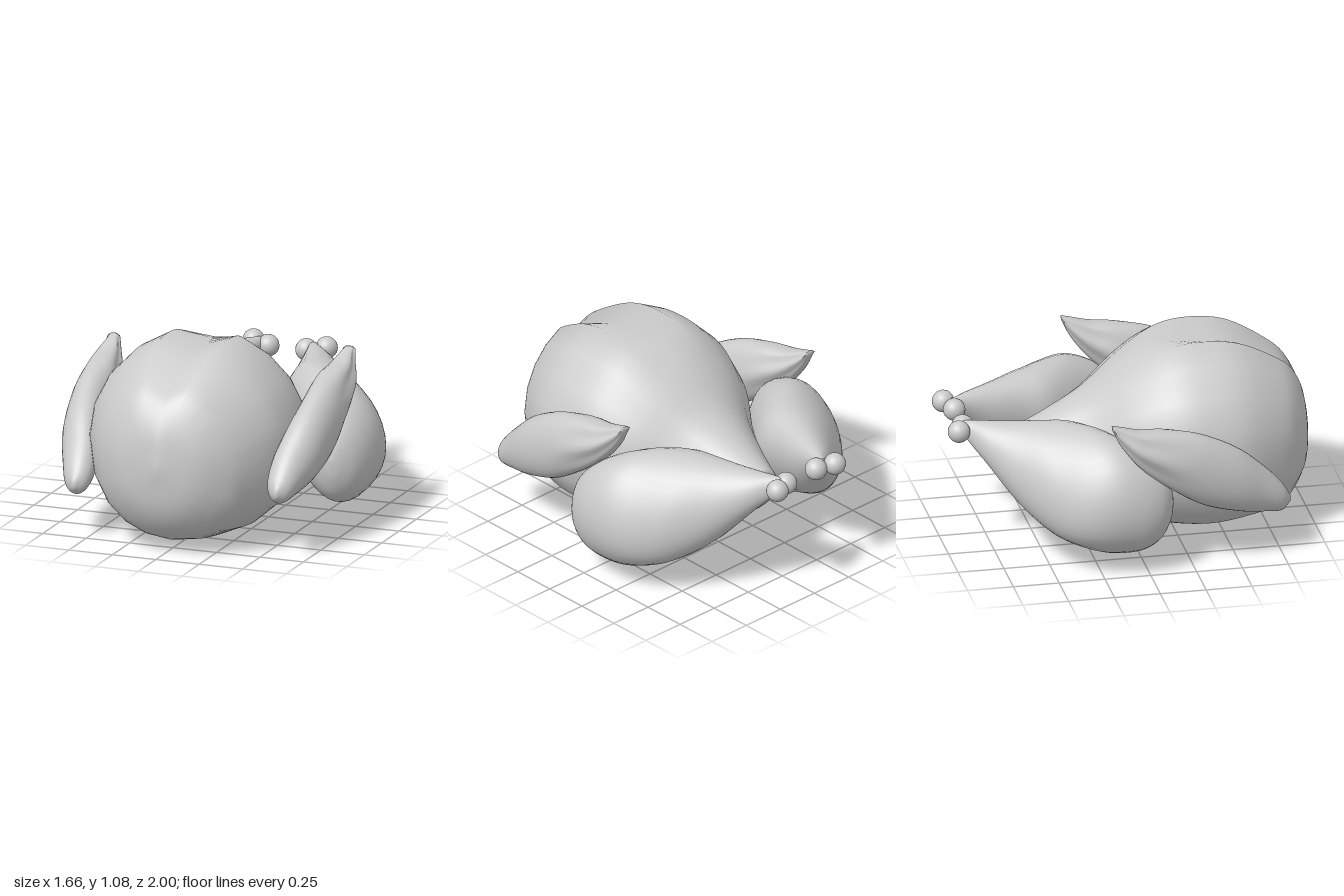
import * as THREE from 'three';

const material = new THREE.MeshStandardMaterial({ color: 0xcccccc });
const { smoothstep } = THREE.MathUtils;

// Smooth closed loft along z. Section rows: [z, centreX, centreY, halfWidth, halfHeight].
// adjust(point, angle, centre, size) reshapes each ring point; side = -1 mirrors in x.
function loft(rows, { sides = 32, rings = 48, side = 1, adjust }) {
  const path = new THREE.CatmullRomCurve3(rows.map(r => new THREE.Vector3(r[1], r[2], r[0])), false, 'catmullrom', 0.5);
  const size = new THREE.CatmullRomCurve3(rows.map(r => new THREE.Vector3(r[3], r[4], 0)), false, 'catmullrom', 0.5);
  const positions = [], index = [];
  const tri = (a, b, c) => (side > 0 ? index.push(a, b, c) : index.push(a, c, b));
  for (let i = 0; i <= rings; i++) {
    const c = path.getPoint(i / rings), s = size.getPoint(i / rings);
    for (let j = 0; j < sides; j++) {
      const t = (j / sides) * Math.PI * 2;
      const p = new THREE.Vector3(c.x + s.x * Math.cos(t), c.y + s.y * Math.sin(t), c.z);
      adjust(p, t, c, s);
      positions.push(p.x * side, p.y, p.z);
      if (i < rings) {
        const k = (j + 1) % sides, a = i * sides + j, b = i * sides + k;
        tri(a, a + sides, b);
        tri(b, a + sides, b + sides);
      }
    }
  }
  // End caps around the mean of each end ring
  for (const i of [0, rings]) {
    const centre = positions.length / 3, mean = [0, 0, 0];
    for (let j = 0; j < sides; j++) {
      const a = i * sides + j, b = i * sides + ((j + 1) % sides);
      for (let k = 0; k < 3; k++) mean[k] += positions[a * 3 + k] / sides;
      if (i === 0) tri(centre, a, b); else tri(centre, b, a);
    }
    positions.push(...mean);
  }
  const g = new THREE.BufferGeometry();
  g.setAttribute('position', new THREE.Float32BufferAttribute(positions, 3));
  g.setIndex(index);
  g.computeVertexNormals();
  return g;
}

function add(parent, geometry, name) {
  const mesh = new THREE.Mesh(geometry, material);
  mesh.name = name;
  parent.add(mesh);
  return mesh;
}

const bodyRows = [
  [1.0, 0, 0.49, 0.02, 0.03], [0.97, 0, 0.49, 0.2, 0.22], [0.9, 0, 0.5, 0.325, 0.36],
  [0.8, 0, 0.505, 0.43, 0.445], [0.6, 0, 0.54, 0.54, 0.52], [0.4, 0, 0.545, 0.567, 0.545],
  [0.2, 0, 0.545, 0.547, 0.52], [0, 0, 0.51, 0.465, 0.44], [-0.2, 0, 0.455, 0.315, 0.335],
  [-0.4, 0, 0.455, 0.2, 0.225], [-0.55, 0, 0.47, 0.125, 0.14], [-0.605, 0, 0.485, 0.095, 0.1],
  [-0.62, 0, 0.49, 0.05, 0.05],
];

const legRows = [
  [0.14, 0.665, 0.385, 0.01, 0.02], [0.12, 0.66, 0.385, 0.06, 0.115], [0.06, 0.645, 0.38, 0.135, 0.21],
  [-0.05, 0.615, 0.395, 0.205, 0.285], [-0.2, 0.56, 0.425, 0.267, 0.325], [-0.35, 0.495, 0.455, 0.29, 0.312],
  [-0.5, 0.43, 0.485, 0.245, 0.275], [-0.65, 0.335, 0.54, 0.175, 0.205], [-0.8, 0.235, 0.63, 0.095, 0.105],
  [-0.87, 0.18, 0.67, 0.05, 0.06], [-0.9, 0.165, 0.69, 0.03, 0.035],
];

const wingRows = [
  [0.8, 0.61, 0.37, 0.01, 0.02], [0.75, 0.608, 0.39, 0.065, 0.08], [0.65, 0.615, 0.45, 0.095, 0.13],
  [0.5, 0.64, 0.535, 0.112, 0.18], [0.3, 0.65, 0.625, 0.115, 0.2], [0.1, 0.64, 0.715, 0.12, 0.165],
  [-0.05, 0.64, 0.79, 0.095, 0.11], [-0.15, 0.635, 0.868, 0.055, 0.06], [-0.2, 0.635, 0.925, 0.035, 0.015],
];

export function createModel() {
  const model = new THREE.Group();
  model.name = 'roastBird';

  // Plump body: fuller underside, a furrow along the breast, tapering to the tail
  add(model, loft(bodyRows, {
    sides: 20,
    adjust: (p, t, c, s) => {
      const a = t - Math.PI / 2, fade = smoothstep(p.z, -0.05, 0.4);
      if (t > Math.PI) p.y = c.y - s.y * Math.abs(Math.sin(t)) ** 0.85;
      p.y += fade * s.y * (0.08 * Math.exp(-((a / 0.45) ** 2)) - 0.215 * Math.exp(-((a / 0.2) ** 2)));
    },
  }), 'body');

  for (const side of [1, -1]) {
    const label = side > 0 ? 'left' : 'right';

    // Drumstick, its shank sloping from inner top to outer bottom, with two bone knobs
    const leg = new THREE.Group();
    leg.name = label + 'Leg';
    model.add(leg);
    add(leg, loft(legRows, {
      side,
      adjust: (p, t, c, s) => {
        p.y = c.y + s.y * Math.sin(t - 0.08 - 0.32 * smoothstep(-p.z, 0.1, 0.5));
      },
    }), label + 'Drumstick');
    for (const [x, y, z] of [[0.21, 0.69, -0.935], [0.11, 0.68, -0.895]]) {
      add(leg, new THREE.SphereGeometry(0.06, 24, 16), label + 'BoneKnob').position.set(x * side, y, z);
    }

    // Folded wing, grooved towards the tip; the right one sits lower and leans out
    add(model, loft(wingRows, {
      side,
      adjust: (p, t, c, s) => {
        const groove = 0.1 * smoothstep(-p.z, -0.3, 0.05) * (Math.cos(6 * t) - 1);
        p.x += groove * s.x * Math.cos(t);
        p.y += 0.3 * groove * s.y * Math.sin(t);
        if (side < 0) {
          p.x -= 0.14 * (c.z - 0.4);
          p.y -= 0.07;
        }
      },
    }), label + 'Wing');
  }
  return model;
}
